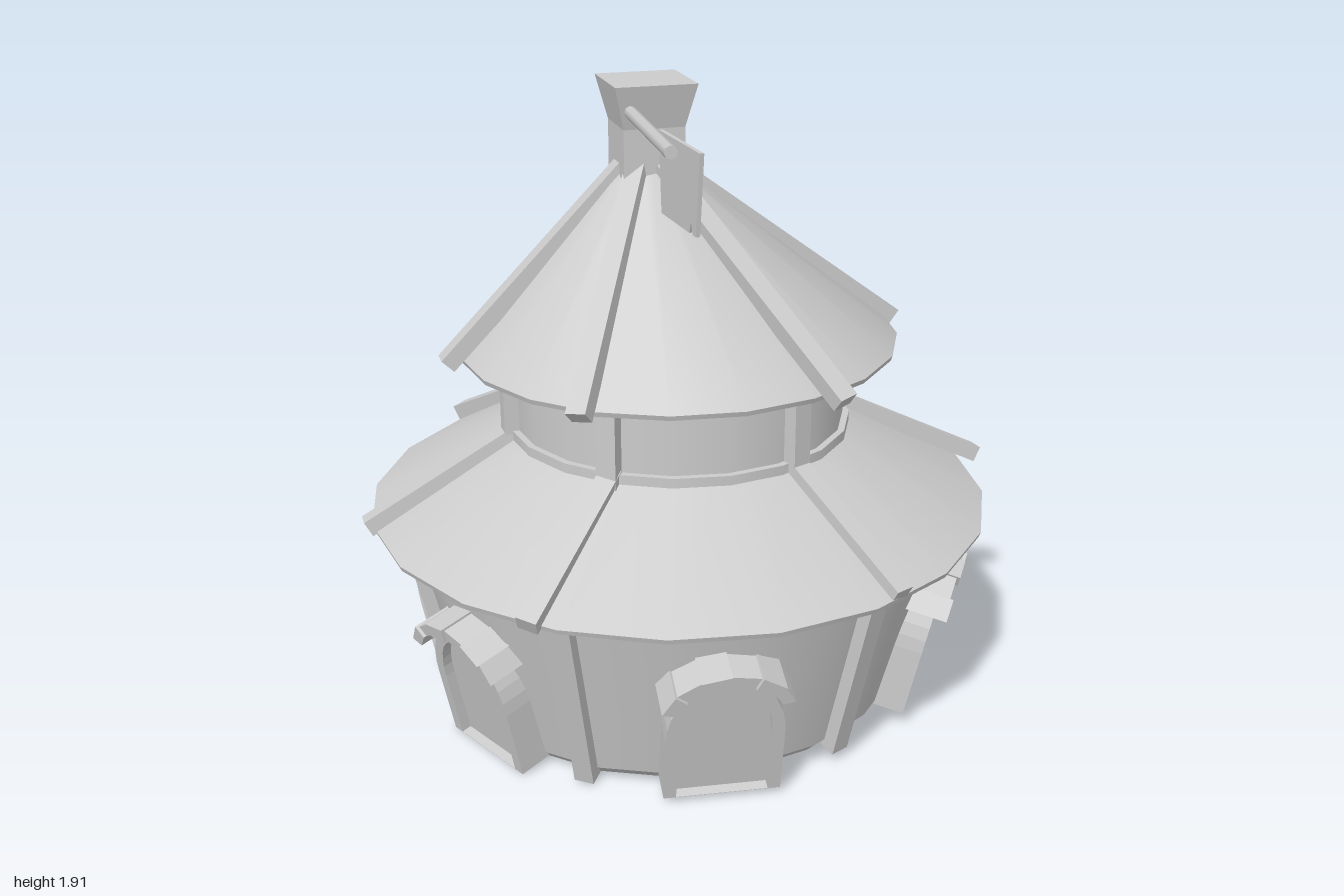
import * as THREE from 'three';

const CX = -0.02; // centre of the round walls
const material = new THREE.MeshStandardMaterial({ color: 0xcccccc });
const thin = new THREE.MeshStandardMaterial({ color: 0xcccccc, side: THREE.DoubleSide });
const V = (x, y, z) => new THREE.Vector3(x, y, z);
const floorY = (x) => 0.022 + 0.03 * x; // the ground ring is slightly skewed

// Directions of the six timber frames, with roof beam tips [x, z] for both roofs
const frames = [
  { angle: 0, low: [0.985, 0.02], high: [0.665, 0.02] },
  { angle: 66, low: [0.36, 0.865], high: [0.255, 0.67] },
  { angle: 128, low: [-0.65, 0.74], high: [-0.455, 0.55] },
  { angle: 180, low: [-0.985, 0.02], high: [-0.725, 0.02] },
  { angle: 235, low: [-0.565, -0.83], high: [-0.44, -0.54] },
  { angle: 299, low: [0.48, -0.885], high: [0.31, -0.62] },
];

function add(parent, name, geometry, mat = material) {
  const mesh = new THREE.Mesh(geometry, mat);
  mesh.name = name;
  parent.add(mesh);
  return mesh;
}

// Round section with 20 sides, from yBottom to yTop
function drum(parent, name, rTop, rBottom, yBottom, yTop, open = false) {
  const g = new THREE.CylinderGeometry(rTop, rBottom, yTop - yBottom, 20, 1, open);
  g.translate(CX, (yTop + yBottom) / 2, 0);
  return add(parent, name, g);
}

// Moves every vertex of a mesh by a rule
function bend(mesh, rule) {
  const p = mesh.geometry.attributes.position;
  const v = V(0, 0, 0);
  for (let i = 0; i < p.count; i++) {
    rule(v.fromBufferAttribute(p, i));
    p.setXYZ(i, v.x, v.y, v.z);
  }
}

// Square timber between two points, its height facing outward
function beam(parent, name, a, b, outward, width = 0.06, height = 0.05) {
  const m = add(parent, name, new THREE.BoxGeometry(width, height, a.distanceTo(b)));
  m.position.copy(a).add(b).multiplyScalar(0.5);
  m.up.copy(outward);
  m.lookAt(b);
}

function arch(halfWidth, spring, rise, bottom = 0, T = THREE.Shape) {
  const s = new T();
  s.moveTo(-halfWidth, bottom);
  s.lineTo(halfWidth, bottom);
  s.lineTo(halfWidth, spring);
  s.absellipse(0, spring, halfWidth, rise, 0, Math.PI, false, 0);
  s.lineTo(-halfWidth, bottom);
  return s;
}

// Arched door with its frame and a small hood of stepped blocks
function door() {
  const group = new THREE.Group();
  group.name = 'door';
  const frame = arch(0.168, 0.22, 0.215);
  frame.holes.push(arch(0.132, 0.22, 0.18, 0.001, THREE.Path));
  const frameGeo = new THREE.ExtrudeGeometry(frame, { depth: 0.1, bevelEnabled: false, curveSegments: 8 });
  add(group, 'doorFrame', frameGeo.translate(0, 0, -0.05));
  const panelGeo = new THREE.ExtrudeGeometry(arch(0.14, 0.22, 0.185), { depth: 0.07, bevelEnabled: false, curveSegments: 8 });
  add(group, 'doorPanel', panelGeo.translate(0, 0, -0.05));
  const count = 6;
  for (let i = 0; i < count; i++) {
    const t0 = Math.PI * (0.06 + (0.88 * i) / count);
    const t1 = Math.PI * (0.06 + (0.88 * (i + 1)) / count);
    const at = (t, k) => new THREE.Vector2((0.15 + k) * Math.cos(t), 0.335 + (0.1 + k) * Math.sin(t));
    const outer = i % 2 ? 0.042 : 0.035;
    const block = new THREE.Shape([at(t0, 0), at(t0, outer), at(t1, outer), at(t1, 0)]);
    const g = new THREE.ExtrudeGeometry(block, { depth: i % 2 ? 0.13 : 0.12, bevelEnabled: false });
    add(group, 'doorHoodBlock', g.translate(0, 0, -0.04));
  }
  return group;
}

export function createModel() {
  const model = new THREE.Group();
  model.name = 'roundHouse';

  // Ground floor, flaring upward from a bevelled foot
  const foot = drum(model, 'foot', 0.705, 0.67, 0, 0.035);
  const wall = drum(model, 'lowerWall', 0.845, 0.705, 0.035, 0.63);
  for (const m of [foot, wall]) bend(m, (v) => { if (v.y < 0.1) v.y += floorY(v.x); });

  // Roofs and upper storey
  drum(model, 'lowerRoof', 0.5, 0.95, 0.625, 0.875);
  drum(model, 'lowerRoofEdge', 0.95, 0.945, 0.61, 0.625);
  drum(model, 'upperWall', 0.505, 0.505, 0.85, 1.14);
  drum(model, 'wallTrim', 0.525, 0.525, 0.84, 0.89);
  const roof = drum(model, 'upperRoof', 0.085, 0.66, 1.135, 1.665);
  const edge = drum(model, 'upperRoofEdge', 0.66, 0.655, 1.12, 1.135);
  for (const m of [roof, edge]) {
    bend(m, (v) => {
      if (v.y > 1.5) v.x -= 0.095; // the peak leans to one side
      else v.y += 0.015 * v.x;
    });
  }

  // Timber frames
  frames.forEach(({ angle, low, high }, i) => {
    const a = THREE.MathUtils.degToRad(angle);
    const out = V(Math.cos(a), 0, Math.sin(a));
    const at = (r, y) => V(CX + r * out.x, y, r * out.z);
    const foot = at(0.71, 0);
    foot.y = floorY(foot.x) + 0.005;
    beam(model, 'lowerPost', foot, at(0.855, 0.63), out);
    beam(model, 'upperPost', at(0.52, 0.85), at(0.52, 1.14), out);
    beam(model, 'lowerRoofBeam', at(0.5, 0.88), V(low[0], 0.633, low[1]), out);
    const top = V(-0.115 + 0.07 * out.x, 1.665, 0.01 + 0.07 * out.z);
    beam(model, 'upperRoofBeam', top, V(high[0], 1.13 + 0.015 * high[0], high[1]), out);

    // Door halfway to the next frame
    const next = i < 5 ? frames[i + 1].angle : 360;
    const d = THREE.MathUtils.degToRad((angle + next) / 2);
    const entry = door();
    entry.rotation.order = 'YXZ';
    entry.rotation.set(0.215, Math.PI / 2 - d, 0);
    const x = CX + 0.715 * Math.cos(d);
    entry.position.set(x, floorY(x) + 0.012, 0.715 * Math.sin(d));
    model.add(entry);
  });

  // Square chimney with a flared top
  const chimney = new THREE.Group();
  chimney.name = 'chimney';
  const stack = new THREE.BoxGeometry(0.18, 0.19, 0.18);
  add(chimney, 'chimneyStack', stack.translate(0, 1.69, 0));
  const flare = new THREE.CylinderGeometry(0.12 * Math.SQRT2, 0.09 * Math.SQRT2, 0.125, 4, 1, false, Math.PI / 4);
  const cap = add(chimney, 'chimneyFlare', flare.toNonIndexed());
  cap.geometry.computeVertexNormals();
  cap.position.y = 1.8475;
  chimney.position.set(-0.115, 0, 0.005);
  model.add(chimney);

  // Flag pole and hanging cloth
  const pole = new THREE.LineCurve3(V(-0.185, 1.838, 0.06), V(-0.222, 1.838, 0.632));
  const rod = add(model, 'flagPole', new THREE.CylinderGeometry(0.018, 0.018, 0.573, 8));
  rod.position.copy(pole.getPoint(0.5));
  rod.quaternion.setFromUnitVectors(V(0, 1, 0), pole.getTangent(0));
  const cloth = new THREE.Shape();
  [[0.63, 1.83], [0.32, 1.83], [0.34, 1.607], [0.555, 1.607], [0.568, 1.64], [0.58, 1.607], [0.603, 1.607]]
    .forEach(([z, y], i) => (i ? cloth.lineTo(z, y) : cloth.moveTo(z, y)));
  const flag = add(model, 'flag', new THREE.ExtrudeGeometry(cloth, { depth: 0.012, bevelEnabled: false }), thin);
  flag.rotation.y = -Math.PI / 2 + 0.065;
  flag.position.set(-0.175, 0, 0);

  return model;
}
